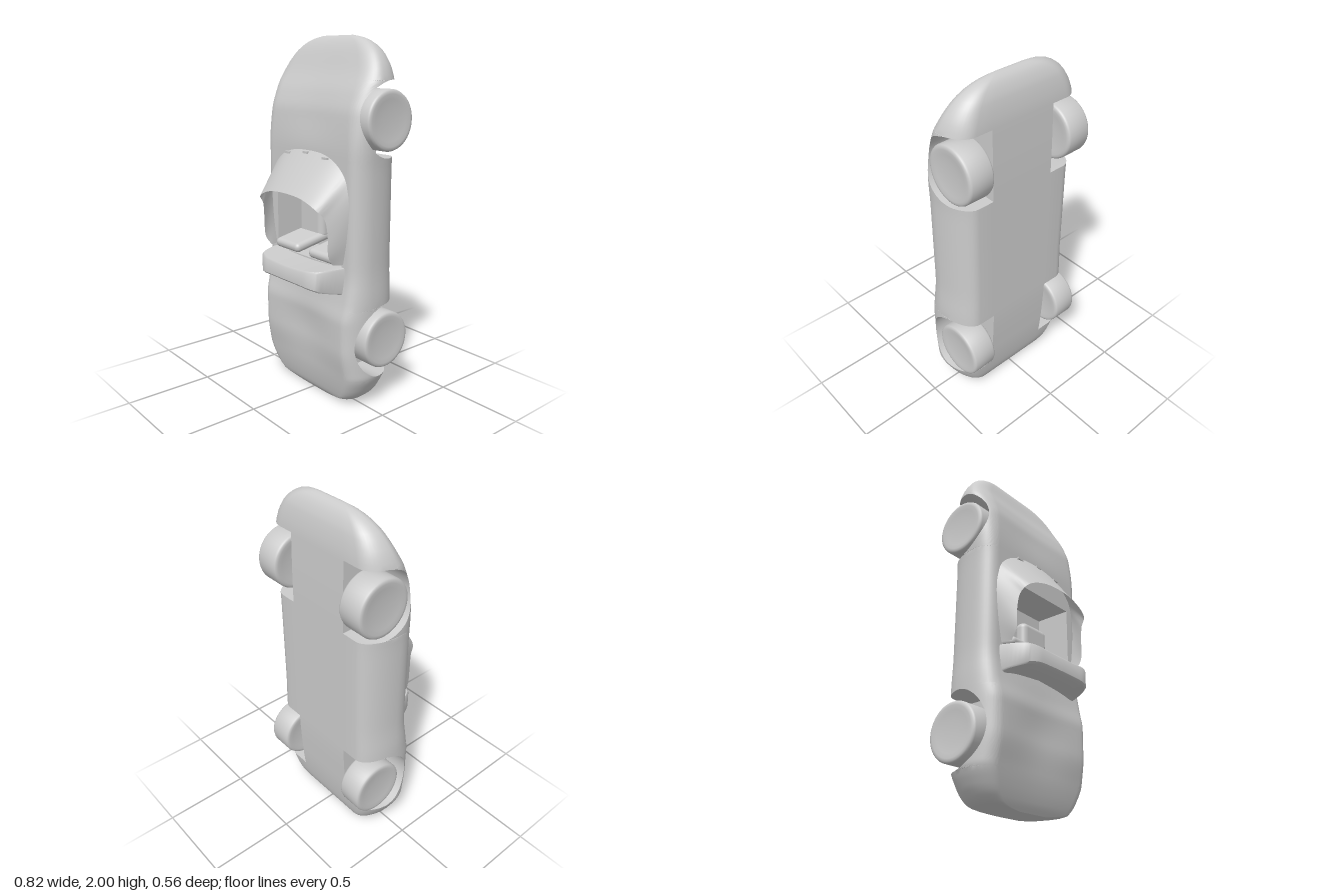
import * as THREE from 'three';
import { toCreasedNormals } from 'three/addons/utils/BufferGeometryUtils.js';
import { RoundedBoxGeometry } from 'three/addons/geometries/RoundedBoxGeometry.js';

const grey = new THREE.MeshStandardMaterial({ color: 0xcccccc });
const greyThin = new THREE.MeshStandardMaterial({ color: 0xcccccc, side: THREE.DoubleSide });

function part(parent, name, geometry, material = grey) {
  const mesh = new THREE.Mesh(geometry, material);
  mesh.name = name;
  parent.add(mesh);
  return mesh;
}

// Smooth monotone interpolation through [position, value] pairs
function curve(pts) {
  const d = pts.slice(1).map((p, i) => (p[1] - pts[i][1]) / (p[0] - pts[i][0]));
  const m = pts.map((p, i) => {
    if (i === 0) return d[0];
    if (i === d.length) return d[i - 1];
    return d[i - 1] * d[i] > 0 ? 2 * d[i - 1] * d[i] / (d[i - 1] + d[i]) : 0;
  });
  return y => {
    let i = 0;
    while (i < d.length - 1 && y > pts[i + 1][0]) i++;
    const h = pts[i + 1][0] - pts[i][0];
    const t = THREE.MathUtils.clamp((y - pts[i][0]) / h, 0, 1), s = 1 - t;
    return (1 + 2 * t) * s * s * pts[i][1] + t * s * s * h * m[i]
      + t * t * (3 - 2 * t) * pts[i + 1][1] - t * t * s * h * m[i + 1];
  };
}

// Skin a list of equally long rows of [x, y, z]
function skin(rows, crease = 0.6) {
  const n = rows[0].length, index = [];
  const v = rows.flat().map(p => new THREE.Vector3(...p));
  const add = (a, b, c) => {
    const area = v[b].clone().sub(v[a]).cross(v[c].clone().sub(v[a])).length();
    if (area > 1e-9) index.push(a, b, c);
  };
  for (let i = 0; i < rows.length - 1; i++) {
    for (let j = 0; j < n - 1; j++) {
      const a = i * n + j, b = a + n;
      add(a, b, a + 1);
      add(b, b + 1, a + 1);
    }
  }
  const g = new THREE.BufferGeometry().setFromPoints(v);
  g.setIndex(index);
  return toCreasedNormals(g, crease);
}

// Body outline along its length (y)
const halfWidth = curve([[0, 0.12], [0.01, 0.22], [0.03, 0.31], [0.1, 0.37], [0.2, 0.41], [0.6, 0.41],
  [0.8, 0.402], [1.3, 0.402], [1.5, 0.41], [1.75, 0.41], [1.82, 0.39], [1.9, 0.34], [1.95, 0.28], [1.985, 0.2], [2, 0.12]]);
const topZ = curve([[0, 0.07], [0.03, 0.09], [0.2, 0.13], [0.35, 0.152], [0.5, 0.153], [0.62, 0.13],
  [0.78, 0.11], [1.4, 0.11], [1.6, 0.096], [1.7, 0.065], [1.82, 0.005], [1.95, -0.055], [1.985, -0.08], [2, -0.098]]);
const deckDrop = curve([[0, 0], [0.15, 0.005], [0.4, 0.025], [0.7, 0], [1.4, 0], [1.6, 0.01], [1.8, 0.005], [2, 0]]);
const bottomZ = curve([[0, -0.1], [0.02, -0.14], [0.1, -0.17], [0.3, -0.195], [0.6, -0.208],
  [1.4, -0.208], [1.78, -0.2], [1.9, -0.183], [1.96, -0.158], [1.985, -0.138], [2, -0.112]]);
const beltZ = curve([[0, 0], [1.5, 0], [1.8, -0.06], [2, -0.105]]);
const shoulder = curve([[0, 0.2], [0.4, 0.22], [0.7, 0.19], [1.3, 0.19], [1.6, 0.25], [2, 0.3]]);
const wells = [{ y: 0.375, z: -0.1, r: 0.205 }, { y: 1.575, z: -0.125, r: 0.2 }];
const cockpit = { from: 0.8, to: 1.22, floor: -0.1 };

// One cross-section ring; the wheel arch lifts the lower side, the cockpit drops the middle
function section(y, well, open) {
  const w = halfWidth(y), zs = topZ(y), zb = bottomZ(y), zm = beltZ(y), k = shoulder(y);
  const arch = well ? well.z + Math.sqrt(Math.max(0, well.r ** 2 - (y - well.y) ** 2)) : zb;
  const phi0 = arch >= zm ? Math.asin(Math.min(1, (arch - zm) / (zs - zm)))
    : -Math.asin(Math.min(1, (zm - arch) / (zm - zb)));
  const inner = Math.min(0.2, w * 0.5), half = [];
  for (let i = 0; i <= 2; i++) half.push([inner * i / 2, zb]);
  half.push([inner, arch]);
  for (let i = 0; i <= 18; i++) {
    const p = phi0 + (Math.PI / 2 - phi0) * i / 18;
    half.push([w * (1 - (p < 0 ? 0.27 : k) * (1 - Math.cos(p))),
      zm + Math.sin(p) * (p < 0 ? zm - zb : zs - zm)]);
  }
  const xs = w * (1 - k), xi = Math.min(0.28, xs * 0.87);
  const top = x => zs - deckDrop(y) * (1 - THREE.MathUtils.smoothstep(x / xs, 0, 1));
  for (let i = 1; i <= 5; i++) {
    const x = xs + (xi - xs) * i / 5;
    half.push([x, top(x)]);
  }
  for (let i = 0; i <= 6; i++) {
    const x = xi * (1 - i / 6);
    half.push([x, open ? cockpit.floor : top(x)]);
  }
  const other = half.slice(0, -1).reverse().map(([x, z]) => [-x, z]);
  return [...half, ...other].map(([x, z]) => [x, y, z]);
}

function bodyGeometry() {
  const stations = [];
  for (const y of [0, 0.004, 0.01, 0.02, 0.03, 0.05, 0.075, 0.1, 0.13, 0.15, 0.62, 0.66, 0.7, 0.75,
    1.27, 1.32, 1.35, 1.8, 1.83, 1.86, 1.9, 1.925, 1.95, 1.97, 1.985, 1.993, 2]) stations.push([y]);
  for (const well of wells) {
    stations.push([well.y - well.r], [well.y + well.r]);
    for (let i = 0; i <= 28; i++) stations.push([well.y - well.r * Math.cos(Math.PI * i / 28), well]);
  }
  stations.push([cockpit.from], [cockpit.to]);
  for (let i = 0; i <= 8; i++) {
    stations.push([THREE.MathUtils.lerp(cockpit.from, cockpit.to, i / 8), null, true]);
  }
  // Closed stations go outside the open ones that share their position
  const key = ([y, well, open]) => {
    const mid = well ? well.y : open ? (cockpit.from + cockpit.to) / 2 : null;
    return mid === null ? y : y + Math.sign(mid - y) * 1e-5;
  };
  stations.sort((a, b) => key(a) - key(b));
  const rows = stations.map(s => section(...s));
  const cap = row => row.map(p => [0, p[1], (topZ(p[1]) + bottomZ(p[1])) / 2]);
  return skin([cap(rows[0]), ...rows, cap(rows[rows.length - 1])], 0.7);
}

const mirrored = pts => [...pts, ...pts.slice(0, -1).reverse().map(([x, y, z]) => [-x, y, z])];
const spline = pts => new THREE.CatmullRomCurve3(mirrored(pts).map(p => new THREE.Vector3(...p)));

// Wraparound windscreen between its base line and upper rim
function windscreenGeometry() {
  const base = spline([[0.3, 0.82, 0.09], [0.33, 0.98, 0.09], [0.345, 1.15, 0.09], [0.335, 1.24, 0.09],
    [0.3, 1.31, 0.095], [0.2, 1.375, 0.105], [0, 1.4, 0.112]]).getPoints(96);
  const rim = spline([[0.275, 0.825, 0.165], [0.28, 0.88, 0.2], [0.282, 1.0, 0.207], [0.272, 1.08, 0.22],
    [0.25, 1.125, 0.255], [0.15, 1.17, 0.27], [0, 1.185, 0.277]]).getPoints(96);
  const rows = [];
  for (let i = 0; i <= 6; i++) {
    rows.push(base.map((b, j) => b.clone().lerp(rim[j], i / 6).toArray()));
  }
  return skin(rows.reverse(), 1);
}

// Raised roll hoop behind the seats, flaring out into the rear deck
function hoopGeometry() {
  const height = curve([[0, 0.28], [0.17, 0.277], [0.24, 0.255], [0.275, 0.2], [0.31, 0.1]]);
  const rows = [];
  for (let i = -24; i <= 24; i++) {
    const x = 0.31 * Math.sin(Math.PI / 2 * i / 24), f = Math.abs(x) / 0.31, z = height(Math.abs(x));
    const lean = 0.02 * f * f, rear = 0.695 - 0.04 * f ** 5;
    rows.push([[0.795 + lean, 0.02], [0.79 + lean, (z + 0.02) / 2], [0.785 + lean, z - 0.008], [0.775 + lean, z],
      [rear + 0.01, z], [rear, z - 0.01], [rear - 0.01, 0.08 + (z - 0.08) * 0.5],
      [rear - 0.025 * f, 0.08 + (z - 0.08) * 0.25], [rear - 0.05 * f, 0.06]].map(([y, pz]) => [x, y, pz]));
  }
  return skin(rows, 0.7);
}

function wheelGeometry() {
  const side = [[0, 0.066], [0.06, 0.067], [0.11, 0.071], [0.135, 0.075], [0.148, 0.074], [0.156, 0.069], [0.16, 0.06]];
  const profile = [...side.map(([r, h]) => [r, -h]), ...side.slice().reverse()];
  const g = new THREE.LatheGeometry(profile.map(p => new THREE.Vector2(...p)), 48);
  return toCreasedNormals(g.rotateZ(Math.PI / 2), 0.7);
}

export function createModel() {
  const car = new THREE.Group();
  car.name = 'roadster';
  part(car, 'body', bodyGeometry());
  part(car, 'windscreen', windscreenGeometry(), greyThin);
  part(car, 'rollHoop', hoopGeometry(), greyThin);

  // Small vents along the windscreen base
  for (const x of [-0.16, 0, 0.16]) {
    part(car, 'vent', new THREE.BoxGeometry(0.04, 0.012, 0.014)).position.set(x, x ? 1.372 : 1.388, 0.122);
  }

  // Seats
  for (const x of [-0.15, 0.15]) {
    const seat = new THREE.Group();
    seat.name = 'seat';
    seat.position.x = x;
    part(seat, 'seatCushion', new RoundedBoxGeometry(0.21, 0.25, 0.08, 5, 0.035)).position.set(0, 0.99, -0.06);
    const back = part(seat, 'seatBack', new RoundedBoxGeometry(0.21, 0.055, 0.25, 5, 0.026));
    back.position.set(0, 0.862, 0.03);
    back.rotation.x = 0.2;
    car.add(seat);
  }

  // Wheels and axles
  const wheel = wheelGeometry();
  for (const y of [0.37, 1.57]) {
    for (const x of [-0.325, 0.325]) part(car, 'wheel', wheel).position.set(x, y, -0.12);
    part(car, 'axle', new THREE.CylinderGeometry(0.016, 0.016, 0.6, 16).rotateZ(Math.PI / 2)).position.set(0, y, -0.12);
  }
  return car;
}
